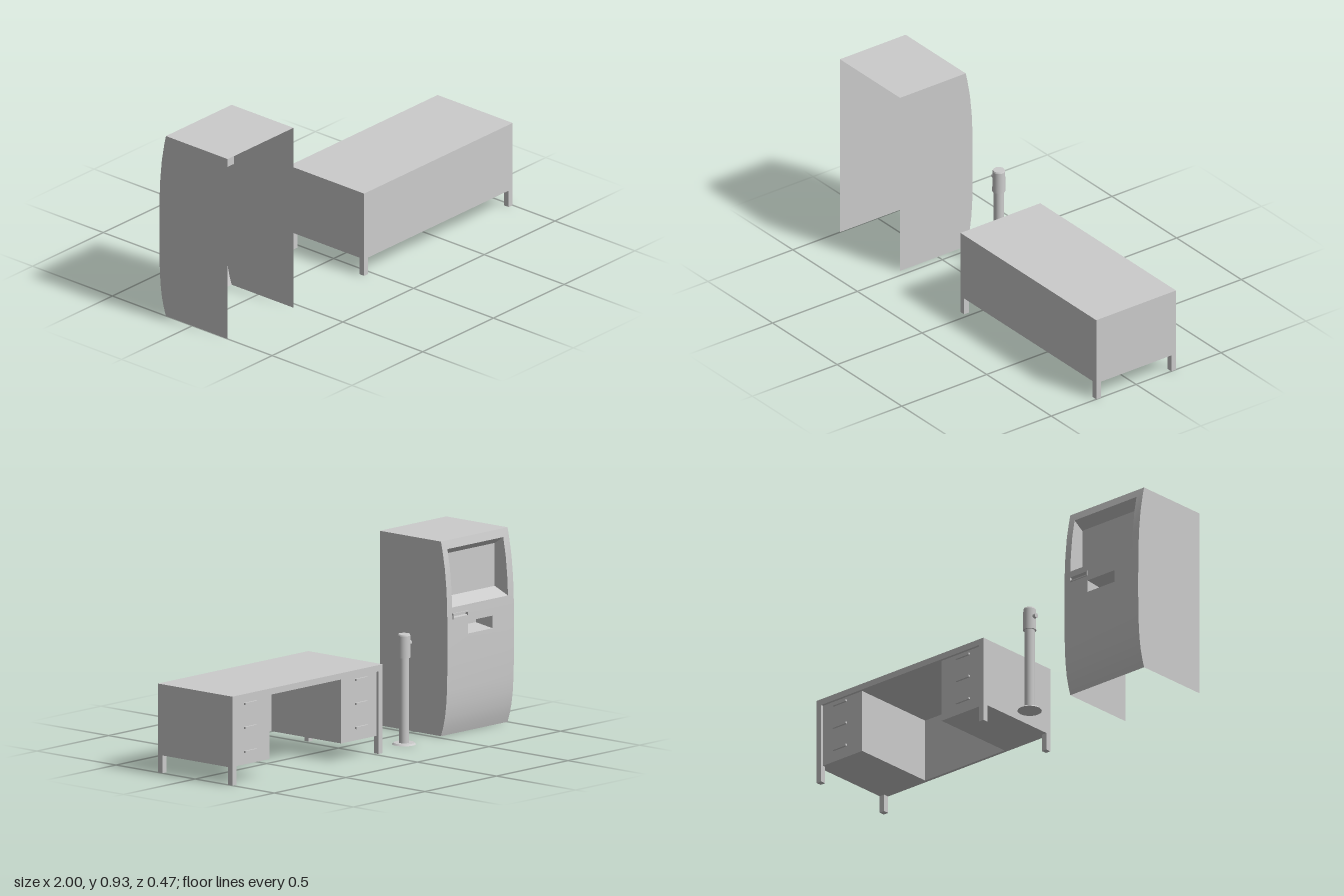
import * as THREE from 'three';

const mat = new THREE.MeshStandardMaterial({ color: 0xcccccc, side: THREE.DoubleSide });

function add(parent, name, geometry, x = 0, y = 0, z = 0) {
  const mesh = new THREE.Mesh(geometry, mat);
  mesh.name = name;
  mesh.position.set(x, y, z);
  parent.add(mesh);
  return mesh;
}

// Box given by its minimum and maximum corners
function box(parent, name, [x0, y0, z0], [x1, y1, z1]) {
  return add(parent, name, new THREE.BoxGeometry(x1 - x0, y1 - y0, z1 - z0),
    (x0 + x1) / 2, (y0 + y1) / 2, (z0 + z1) / 2);
}

// Flat plate in the plane x = const, outlined by [y, z] points
function sidePlate(parent, name, points, x) {
  const shape = new THREE.Shape(points.map(([y, z]) => new THREE.Vector2(z, y)));
  return add(parent, name, new THREE.ShapeGeometry(shape).rotateY(-Math.PI / 2), x);
}

// Sheet spanning x0..x1 between two [y, z] lines
function sheet(parent, name, x0, x1, [ya, za], [yb, zb]) {
  const g = new THREE.BufferGeometry();
  g.setAttribute('position', new THREE.Float32BufferAttribute(
    [x0, ya, za, x1, ya, za, x1, yb, zb, x0, yb, zb], 3));
  g.setIndex([0, 1, 2, 0, 2, 3]);
  g.computeVertexNormals();
  return add(parent, name, g);
}

// Bowed front of the machine as [y, z]
const profile = [[0, -0.165], [0.04, -0.178], [0.09, -0.19], [0.15, -0.198], [0.22, -0.203],
  [0.35, -0.206], [0.475, -0.206], [0.535, -0.205], [0.565, -0.205], [0.58, -0.2045],
  [0.615, -0.204], [0.7, -0.2], [0.8, -0.19], [0.89, -0.174], [0.93, -0.165]];

// Openings in the bowed front
const screen = { x0: -0.96, x1: -0.57, y0: 0.615, y1: 0.89 };
const tray = { x0: -0.85, x1: -0.68, y0: 0.475, y1: 0.535 };
const card = { x0: -0.68, x1: -0.57, y0: 0.565, y1: 0.58 };

// Bowed panel as a grid of cells, leaving the openings out
function frontPanel(parent) {
  const xs = [-1, -0.96, -0.85, -0.68, -0.57, -0.535];
  const pos = [], index = [], n = xs.length;
  for (const [y, z] of profile) for (const x of xs) pos.push(x, y, z);
  for (let j = 0; j < profile.length - 1; j++) {
    for (let i = 0; i < n - 1; i++) {
      const cx = (xs[i] + xs[i + 1]) / 2, cy = (profile[j][0] + profile[j + 1][0]) / 2;
      if ([screen, tray, card].some(h => cx > h.x0 && cx < h.x1 && cy > h.y0 && cy < h.y1)) continue;
      const a = j * n + i, b = a + 1, c = a + n, d = c + 1;
      index.push(a, c, b, b, c, d);
    }
  }
  const g = new THREE.BufferGeometry();
  g.setAttribute('position', new THREE.Float32BufferAttribute(pos, 3));
  g.setIndex(index);
  g.computeVertexNormals();
  add(parent, 'bowedFront', g);
}

// Recess behind an opening, narrowing in height to a back wall at depth z
function recess(parent, name, { x0, x1, y0, y1 }, iy0, iy1, z) {
  const edge = profile.filter(([y]) => y >= y0 && y <= y1);
  const bottom = edge[0], top = edge[edge.length - 1];
  sheet(parent, name + 'Floor', x0, x1, bottom, [iy0, z]);
  sheet(parent, name + 'Back', x0, x1, [iy0, z], [iy1, z]);
  sheet(parent, name + 'Ceiling', x0, x1, [iy1, z], top);
  for (const x of [x0, x1]) sidePlate(parent, name + 'Side', [...edge, [iy1, z], [iy0, z]], x);
}

function cashMachine() {
  const g = new THREE.Group();
  g.name = 'cashMachine';
  const back = 0.222;
  frontPanel(g);
  for (const x of [-1, -0.535]) sidePlate(g, 'cabinetSide', [...profile, [0.93, back], [0, back]], x);
  sheet(g, 'cabinetTop', -1, -0.535, [0.93, back], [0.93, -0.165]);
  recess(g, 'screen', screen, 0.65, 0.855, -0.12);
  recess(g, 'cashTray', tray, 0.49, 0.525, -0.1);
  recess(g, 'cardSlot', card, 0.567, 0.578, -0.19);

  // Raised rim around the card slot
  const { x0, x1, y0, y1 } = card, zf = -0.211, zb = -0.203, t = 0.006;
  box(g, 'cardRim', [x0, y0 - t, zf], [x1, y0, zb]);
  box(g, 'cardRim', [x0, y1, zf], [x1, y1 + t, zb]);
  box(g, 'cardRim', [x0, y0, zf], [x0 + t, y1, zb]);
  box(g, 'cardRim', [x1 - t, y0, zf], [x1, y1, zb]);
  return g;
}

function barrierPost() {
  const g = new THREE.Group();
  g.name = 'barrierPost';
  const cyl = (name, rTop, rBottom, y0, y1) =>
    add(g, name, new THREE.CylinderGeometry(rTop, rBottom, y1 - y0, 32), 0, (y0 + y1) / 2, 0);
  cyl('base', 0.05, 0.057, 0, 0.008);
  cyl('pole', 0.024, 0.024, 0.008, 0.415);
  cyl('head', 0.03, 0.031, 0.415, 0.52);
  cyl('headCap', 0.027, 0.03, 0.52, 0.527);
  // Small belt clip on the side of the head
  const clip = add(g, 'beltClip', new THREE.CylinderGeometry(0.012, 0.012, 0.016, 16), -0.035, 0.48, 0);
  clip.rotation.z = Math.PI / 2;
  g.position.set(-0.278, 0, -0.164);
  return g;
}

function desk() {
  const g = new THREE.Group();
  g.name = 'desk';
  const x0 = -0.05, x1 = 1, d = 0.235, low = 0.085, under = 0.395, leg = 0.028, face = -0.222;
  box(g, 'deskTop', [x0, under, -d], [x1, 0.425, d]);
  box(g, 'modestyPanel', [x0, low, d - 0.015], [x1, under, d]);

  for (const [a, b, outer] of [[x0, 0.225, x0], [0.725, x1, x1]]) {
    // Drawer pedestal with bar handles
    box(g, 'pedestal', [a, low, face], [b, under, d - 0.015]);
    const cx = (a + b) / 2;
    for (const y of [0.375, 0.26, 0.145])
      box(g, 'drawerHandle', [cx - 0.042, y - 0.005, face - 0.01], [cx + 0.042, y + 0.005, face]);

    // Drawer-side legs run up to the top; the far ones stop under the pedestal
    const lx0 = outer === x0 ? x0 : x1 - leg, lx1 = lx0 + leg;
    box(g, 'frontLeg', [lx0, 0, -d], [lx1, under, -d + leg]);
    box(g, 'backLeg', [lx0, 0, d - leg], [lx1, low, d]);
  }
  return g;
}

export function createModel() {
  const model = new THREE.Group();
  model.name = 'bankFurniture';
  model.add(cashMachine(), barrierPost(), desk());
  return model;
}
